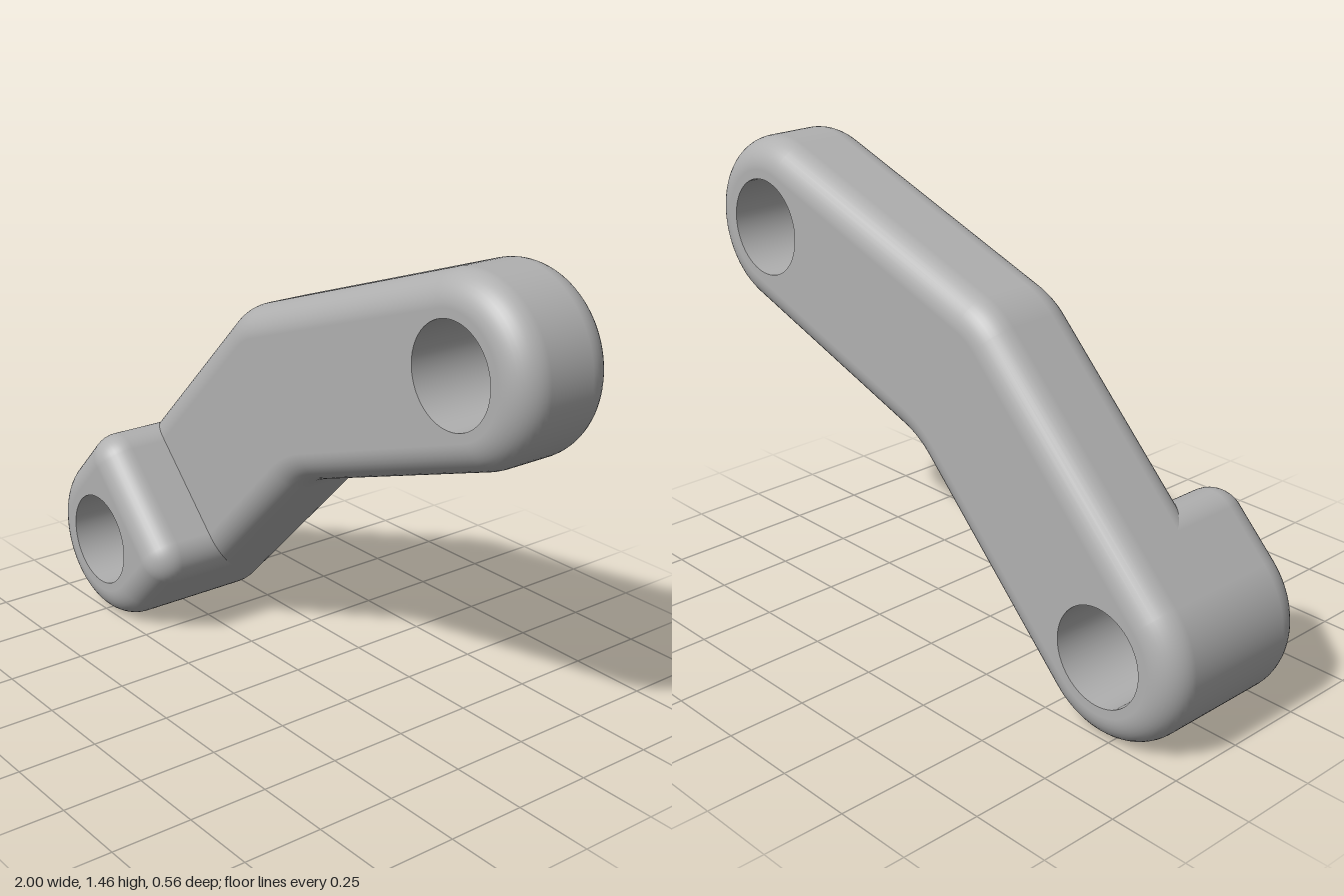
import * as THREE from 'three';
import { mergeGeometries } from 'three/addons/utils/BufferGeometryUtils.js';

const R = 0.275, HOLE = 0.152, FILLET = 0.095;
const BACK = -0.28, ARM_FRONT = 0.06, PAD_FRONT = 0.28;
const A = [-0.725, 0.275], BEND = [-0.098, 0.902], B = [0.725, 1.185];
const rad = THREE.MathUtils.degToRad;
const polar = (c, deg, d) => [c[0] + d * Math.cos(rad(deg)), c[1] + d * Math.sin(rad(deg))];

// An outline is a chain of arcs { c, r, from, to } in normal angles; negative r is a concave corner.
function outlinePoints(arcs) {
  const pts = [];
  for (const { c, r, from, to } of arcs) {
    const n = Math.max(8, Math.round(Math.abs(to - from) / 4));
    for (let i = 0; i <= n; i++) {
      const a = rad(from + (to - from) * i / n);
      pts.push({ c, r, nx: Math.cos(a), ny: Math.sin(a) });
    }
  }
  return pts;
}
const inset = (p, d) => [p.c[0] + p.nx * (p.r - d), p.c[1] + p.ny * (p.r - d)];

// Side wall: a rounded profile swept round the outline
function wall(pts, profile) {
  const pos = [], nor = [], idx = [], n = pts.length;
  for (const { d, z, out, nz } of profile) {
    for (const p of pts) {
      pos.push(...inset(p, d), z);
      nor.push(p.nx * out, p.ny * out, nz);
    }
  }
  for (let j = 0; j < profile.length - 1; j++) {
    for (let i = 0; i < n; i++) {
      const a = j * n + i, b = j * n + (i + 1) % n;
      idx.push(a, b, b + n, a, b + n, a + n);
    }
  }
  const g = new THREE.BufferGeometry();
  g.setAttribute('position', new THREE.Float32BufferAttribute(pos, 3));
  g.setAttribute('normal', new THREE.Float32BufferAttribute(nor, 3));
  g.setIndex(idx);
  return g;
}

// Flat face inside the fillet, pierced by round holes
function cap(pts, z, holes, facingBack) {
  const shape = new THREE.Shape(pts.map(p => new THREE.Vector2(...inset(p, FILLET))));
  for (const h of holes) shape.holes.push(new THREE.Path().absarc(h[0], h[1], HOLE, 0, Math.PI * 2, true));
  const g = new THREE.ShapeGeometry(shape, 32);
  g.deleteAttribute('uv');
  if (facingBack) {
    const ix = g.index.array;
    for (let i = 0; i < ix.length; i += 3) [ix[i], ix[i + 1]] = [ix[i + 1], ix[i]];
    g.computeVertexNormals();
  }
  return g.translate(0, 0, z);
}

function filletProfile(z, dir) {
  const steps = 10, out = [];
  for (let i = 0; i <= steps; i++) {
    const a = Math.PI / 2 * i / steps, s = Math.sin(a), c = Math.cos(a);
    out.push({ d: FILLET * (1 - c), z: z - dir * FILLET * (1 - s), out: c, nz: dir * s });
  }
  return out;
}

// Inward-facing hole lining
function bore(c, z0, z1) {
  const pts = Array.from({ length: 64 }, (_, i) => {
    const a = -i / 64 * Math.PI * 2;
    return { c, r: -HOLE, nx: -Math.cos(a), ny: -Math.sin(a) };
  });
  return wall(pts, [z0, z1].map(z => ({ d: 0, z, out: 1, nz: 0 })));
}

export function createModel() {
  const group = new THREE.Group();
  group.name = 'crankedLink';
  const grey = new THREE.MeshStandardMaterial({ color: 0xb0b0b0 });
  grey.name = 'grey';
  const add = (name, geometry) => {
    const mesh = new THREE.Mesh(geometry, grey);
    mesh.name = name;
    group.add(mesh);
  };

  // Bent arm
  const k = Math.cos(rad(13));
  const arm = outlinePoints([
    { c: A, r: R, from: 135, to: 315 },
    { c: polar(BEND, -58, 2 * R / k), r: -R, from: 315, to: 289 },
    { c: B, r: R, from: -71, to: 109 },
    { c: BEND, r: R, from: 109, to: 135 },
  ]);
  add('arm', mergeGeometries([
    wall(arm, [...filletProfile(BACK, -1).reverse(), ...filletProfile(ARM_FRONT, 1)]),
    cap(arm, BACK, [A, B], true),
    cap(arm, ARM_FRONT, [A, B], false),
  ]));

  // Raised boss at the lower end, flush with the arm's sides
  const corner = 0.1, length = 0.285;
  const mid = polar(A, 45, length - corner);
  const boss = outlinePoints([
    { c: A, r: R, from: 135, to: 315 },
    { c: polar(mid, -45, R - corner), r: corner, from: -45, to: 45 },
    { c: polar(mid, 135, R - corner), r: corner, from: 45, to: 135 },
  ]);
  const base = { d: 0, z: ARM_FRONT - FILLET, out: 1, nz: 0 };
  add('boss', mergeGeometries([
    wall(boss, [base, ...filletProfile(PAD_FRONT, 1)]),
    cap(boss, PAD_FRONT, [A], false),
  ]));

  // Pin holes
  add('lowerBore', bore(A, BACK, PAD_FRONT));
  add('upperBore', bore(B, BACK, ARM_FRONT));
  return group;
}
